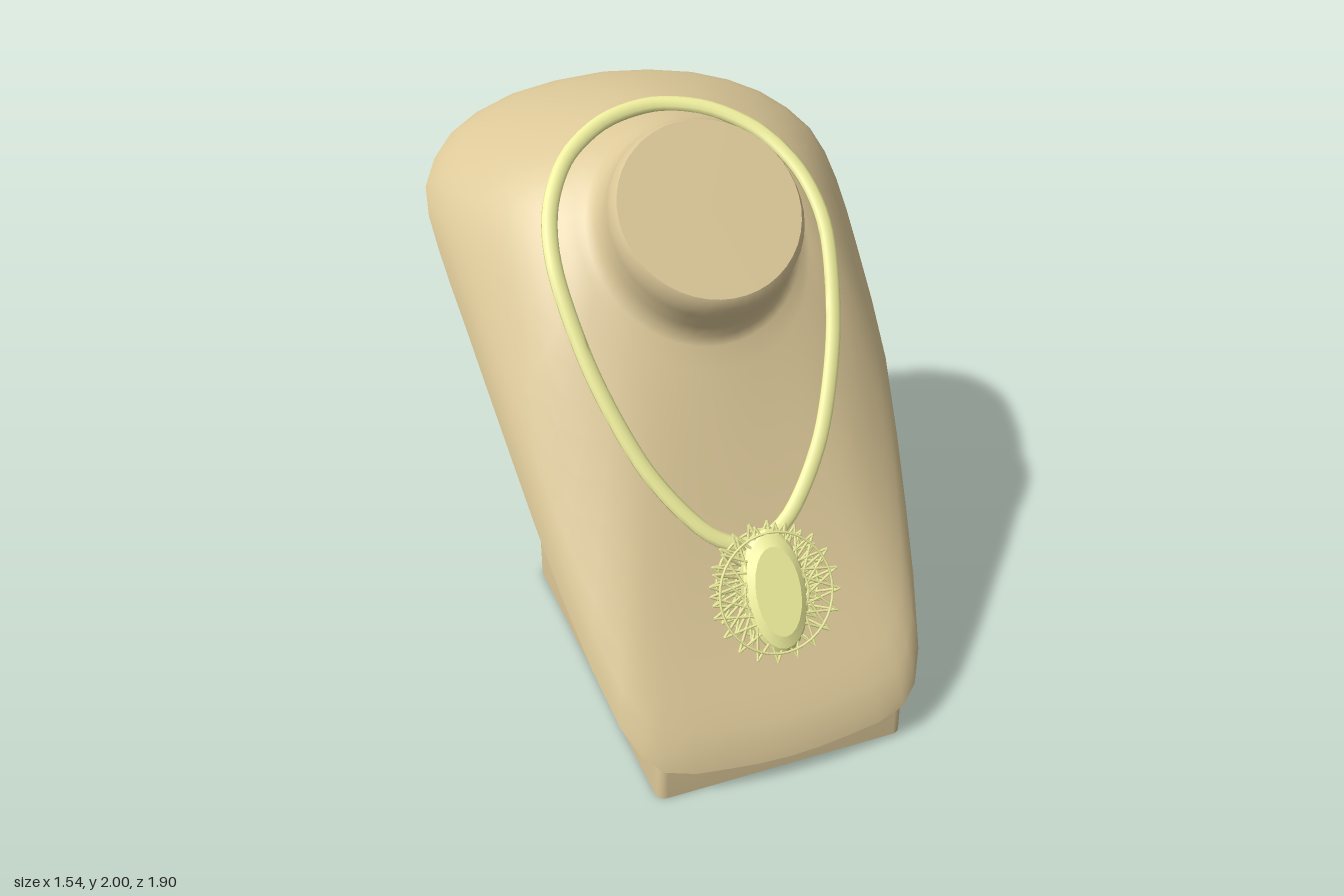
import * as THREE from 'three';
import { mergeGeometries, toCreasedNormals } from 'three/addons/utils/BufferGeometryUtils.js';

const V = (x, y, z) => new THREE.Vector3(x, y, z);
const SEG = 44;

// Closed smooth curve through half a loop (front to back) and its mirror image
function mirroredLoop(half) {
  const pts = half.map(p => V(...p));
  for (let i = half.length - 2; i > 0; i--) pts.push(V(-half[i][0], half[i][1], half[i][2]));
  return new THREE.CatmullRomCurve3(pts, true, 'catmullrom', 0.45);
}

// Skin over a list of closed rings that hold the same number of points
function loft(rings) {
  const pos = [], idx = [], n = rings[0].length;
  rings.forEach(r => r.forEach(p => pos.push(p.x, p.y, p.z)));
  for (let r = 0; r < rings.length - 1; r++) {
    for (let c = 0; c < n; c++) {
      const a = r * n + c, d = r * n + (c + 1) % n;
      idx.push(a, a + n, d, d, a + n, d + n);
    }
  }
  const g = new THREE.BufferGeometry();
  g.setAttribute('position', new THREE.Float32BufferAttribute(pos, 3));
  g.setIndex(idx);
  g.computeVertexNormals();
  return g;
}

const middle = ring => ring.reduce((s, p) => s.add(p), V(0, 0, 0)).divideScalar(ring.length);

// Flat disc closing a ring
function disc(ring, flip = false) {
  const centre = ring.map(() => middle(ring));
  return loft(flip ? [ring, centre] : [centre, ring]);
}

// Straight thin wire between two points
function wire(a, b, r) {
  const d = b.clone().sub(a);
  const g = new THREE.CylinderGeometry(r, r, d.length(), 5);
  g.applyQuaternion(new THREE.Quaternion().setFromUnitVectors(V(0, 1, 0), d.clone().normalize()));
  return g.translate(...a.clone().add(b).multiplyScalar(0.5).toArray());
}

// Rounded rectangle ring for the base, counter-clockwise from above
function slabRing(y, inset) {
  const ring = [], r = 0.035;
  for (let k = 0; k < 4; k++) {
    const sx = k === 0 || k === 3 ? 1 : -1, sz = k < 2 ? -1 : 1;
    for (let j = 0; j <= 4; j++) {
      const a = (k + j / 4) * Math.PI / 2;
      ring.push(V(sx * (0.455 - inset - r) + r * Math.cos(a), y, 0.203 + sz * (0.69 - inset - r) - r * Math.sin(a)));
    }
  }
  return ring;
}

export function createModel() {
  const model = new THREE.Group();
  const tan = new THREE.MeshStandardMaterial({ color: 0xdcc898 });
  const gold = new THREE.MeshStandardMaterial({ color: 0xf2f2a0 });
  const add = (name, geo, mat, parent = model) => {
    const m = new THREE.Mesh(geo, mat);
    m.name = name;
    parent.add(m);
    return m;
  };

  // Base slab: rounded on top, flat underneath
  const slab = [[0.195, 0.035], [0.192, 0.02], [0.182, 0.008], [0.165, 0], [0, 0]].map(p => slabRing(...p));
  const base = new THREE.Group();
  base.name = 'base';
  model.add(base);
  add('baseSides', loft(slab), tan, base);
  add('baseTop', disc(slab[0]), tan, base);
  add('baseBottom', disc(slab[4], true), tan, base);

  // Neck rings: [front y, front z, back y, back z, half width]
  const steps = [...Array(SEG).keys()].map(i => i / SEG);
  const neckRing = ([fy, fz, by, bz, w]) => steps.map(t => {
    const k = (1 - Math.cos(t * 2 * Math.PI)) / 2;
    return V(w * Math.sin(t * 2 * Math.PI), fy + (by - fy) * k, fz + (bz - fz) * k);
  });
  const neck = [
    [1.54, 0.4, 2.0, 0.0, 0.31], [1.505, 0.403, 1.993, -0.035, 0.327], [1.465, 0.375, 1.975, -0.065, 0.328],
    [1.41, 0.337, 1.955, -0.1, 0.332], [1.37, 0.316, 1.944, -0.14, 0.345], [1.335, 0.322, 1.943, -0.19, 0.372],
  ].map(neckRing);
  const foot = neck[neck.length - 1];

  // Outer edge of the bust, from bottom front to top back
  const rim = mirroredLoop([
    [0, 0.09, 0.948], [0.22, 0.102, 0.94], [0.44, 0.138, 0.913], [0.55, 0.27, 0.8], [0.64, 0.61, 0.495],
    [0.705, 1.0, 0.165], [0.742, 1.3, -0.18], [0.765, 1.5, -0.42], [0.752, 1.65, -0.62],
    [0.61, 1.775, -0.79], [0.36, 1.85, -0.905], [0, 1.88, -0.945],
  ]);
  // How far the skin swells between neck and edge, along the same loop
  const swell = [-0.02, -0.018, -0.01, 0.004, 0.03, 0.058, 0.075, 0.075, 0.055, 0.038, 0.038, 0.04];
  const swellAt = t => {
    const f = Math.min(t, 1 - t) * 22, i = Math.min(10, Math.floor(f));
    return THREE.MathUtils.lerp(swell[i], swell[i + 1], f - i);
  };
  const outward = t => {
    const a = t * 2 * Math.PI, b = 1 - Math.cos(a);
    return V(0.4 * Math.sin(a), 0.45 + 0.25 * b, 0.9 - 0.35 * b).normalize();
  };
  const skinRing = (u, inset) => steps.map((t, i) => {
    const lip = (0.02 + 0.008 * Math.cos(t * 2 * Math.PI)) * Math.sin(Math.PI * u ** 6);
    const off = swellAt(t) * 4 * u * (1 - u) + lip - inset;
    return foot[i].clone().lerp(rim.getPoint(t), u).addScaledVector(outward(t), off);
  });
  const us = [0, 0.06, 0.14, 0.24, 0.36, 0.48, 0.6, 0.72, 0.82, 0.9, 0.96, 1];
  const outer = us.map(u => skinRing(u, 0));
  const inner = us.map(u => skinRing(u, 0.012)).reverse();
  // The inside narrows to a smaller flat disc under the neck
  const innerFoot = inner[inner.length - 1], hub = middle(innerFoot);
  const plug = innerFoot.map(p => p.clone().lerp(hub, 0.24).add(V(0, 0.027, 0.036)));

  const bust = new THREE.Group();
  bust.name = 'bust';
  model.add(bust);
  add('bustSkin', loft([...neck, ...outer.slice(1)]), tan, bust);
  add('neckCap', disc(neck[0]), tan, bust);
  add('bustEdge', loft([outer[outer.length - 1], inner[0]]), tan, bust);
  add('bustInside', loft([...inner, plug]), tan, bust);
  add('neckUnderside', disc(plug, true), tan, bust);

  // Necklace cord: a tube pressed flat against the chest
  const cord = mirroredLoop([
    [0, 0.755, 0.64], [0.15, 0.82, 0.605], [0.31, 1.02, 0.485], [0.425, 1.3, 0.315], [0.478, 1.58, 0.13],
    [0.45, 1.745, -0.015], [0.35, 1.868, -0.145], [0.19, 1.945, -0.235], [0, 1.97, -0.272],
  ]);
  const cordGeo = new THREE.TubeGeometry(cord, 96, 0.027, 10, true);
  const cp = cordGeo.attributes.position, flat = V(0, 0.6, 0.8);
  for (let i = 0; i < cp.count; i++) {
    const p = V(0, 0, 0).fromBufferAttribute(cp, i);
    const lift = p.clone().sub(cord.getPointAt(Math.floor(i / 11) / 96)).dot(flat);
    cp.setXYZ(i, ...p.addScaledVector(flat, -0.5 * lift).toArray());
  }
  add('necklaceCord', toCreasedNormals(cordGeo, 1.2), gold).position.x = -0.022;

  // Pendant, leaning back with the chest; its local z points out of the chest
  const pendant = new THREE.Group();
  pendant.name = 'pendant';
  pendant.position.set(-0.003, 0.652, 0.765);
  pendant.rotation.x = -0.5;
  model.add(pendant);

  // Oval stone with a bevelled face and a flat table
  const stone = new THREE.LatheGeometry([
    [0, -0.03], [0.09, -0.03], [0.106, -0.01], [0.108, 0.025], [0.1, 0.038], [0.078, 0.052], [0, 0.052],
  ].map(p => new THREE.Vector2(...p)), 24);
  stone.rotateX(Math.PI / 2).scale(1, 1.9, 1);
  add('pendantStone', toCreasedNormals(stone, 0.3), gold, pendant);

  // Open lattice of long crossing wires: a wide front layer and a smaller raised back layer
  const N = 20, wires = [];
  for (const [R, z, rise] of [[0.226, 0.035, -0.005], [0.205, -0.035, 0.02]]) {
    const at = (r, i, depth) => {
      const a = i / N * 2 * Math.PI;
      return V(r * Math.cos(a), r * Math.sin(a) + rise, depth);
    };
    for (let i = 0; i < N; i++) {
      for (const s of [-1, 1]) wires.push(wire(at(0.1, i, z), at(R, i + s * 1.5, z * 0.8), 0.0045));
      wires.push(wire(at(0.1, i, -0.02), at(R, i + 0.5, z * 0.8), 0.0045));
    }
    for (const r of [0.11, R * 0.87]) wires.push(new THREE.TorusGeometry(r, 0.0045, 5, 40).translate(0, rise, z));
  }
  add('pendantLattice', mergeGeometries(wires), gold, pendant);

  return model;
}
